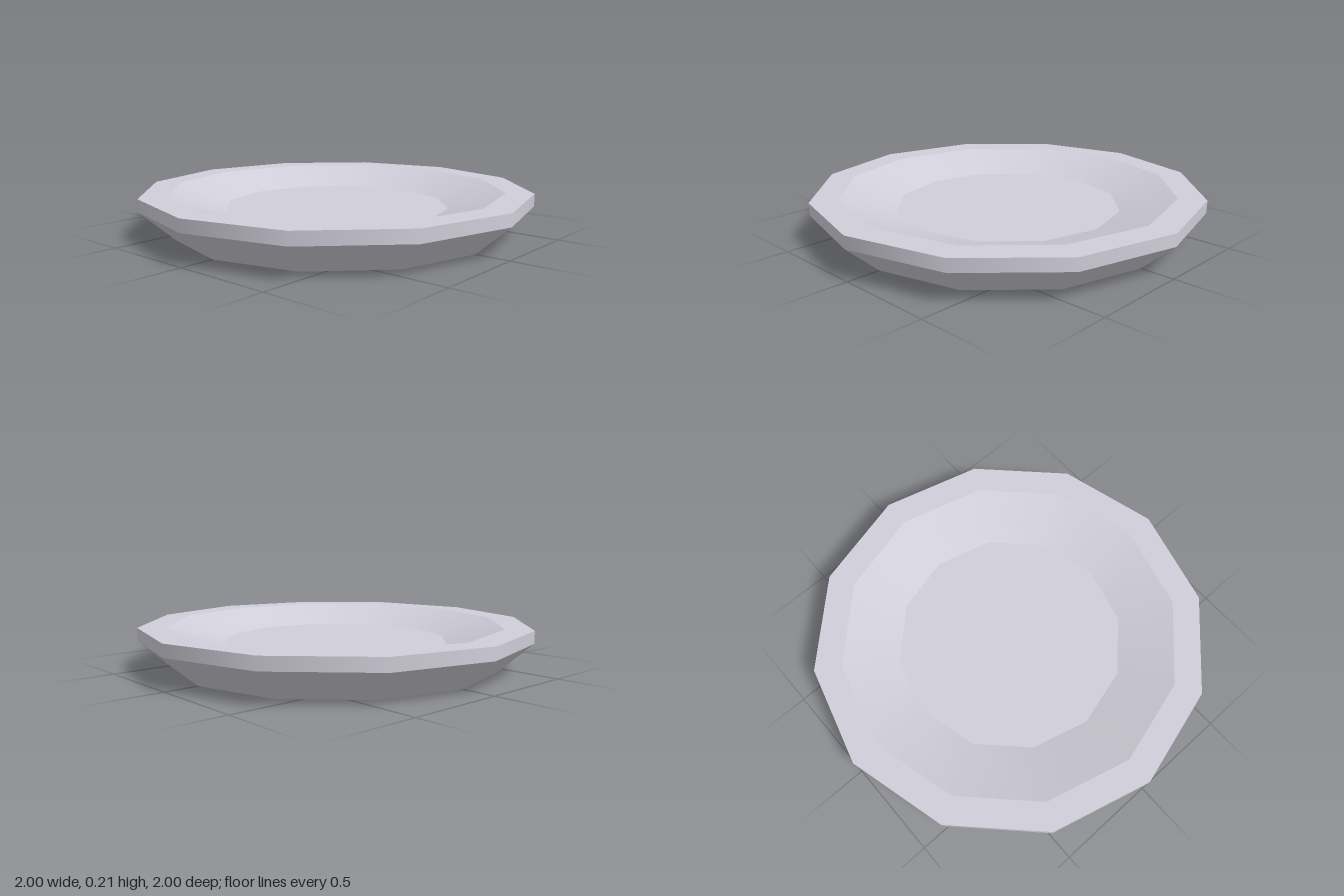
import * as THREE from 'three';

const SIDES = 12;

export function createModel() {
  const plate = new THREE.Group();
  plate.name = 'plate';

  const ceramic = new THREE.MeshStandardMaterial({ color: 0xd0cfda });
  ceramic.name = 'paleGreyCeramic';

  // Each band runs between two [radius, height] rings: smooth around, sharp between bands
  const bands = [
    ['base', [0, 0], [0.83, 0]],
    ['underside', [0.83, 0], [1, 0.15]],
    ['rimEdge', [1, 0.15], [1, 0.213]],
    ['rimTop', [1, 0.213], [0.86, 0.213]],
    ['innerSlope', [0.86, 0.213], [0.58, 0.125]],
    ['dishFloor', [0.58, 0.125], [0, 0.125]],
  ];

  for (const [name, start, end] of bands) {
    const profile = [new THREE.Vector2(...start), new THREE.Vector2(...end)];
    const mesh = new THREE.Mesh(new THREE.LatheGeometry(profile, SIDES), ceramic);
    mesh.name = name;
    plate.add(mesh);
  }

  return plate;
}
